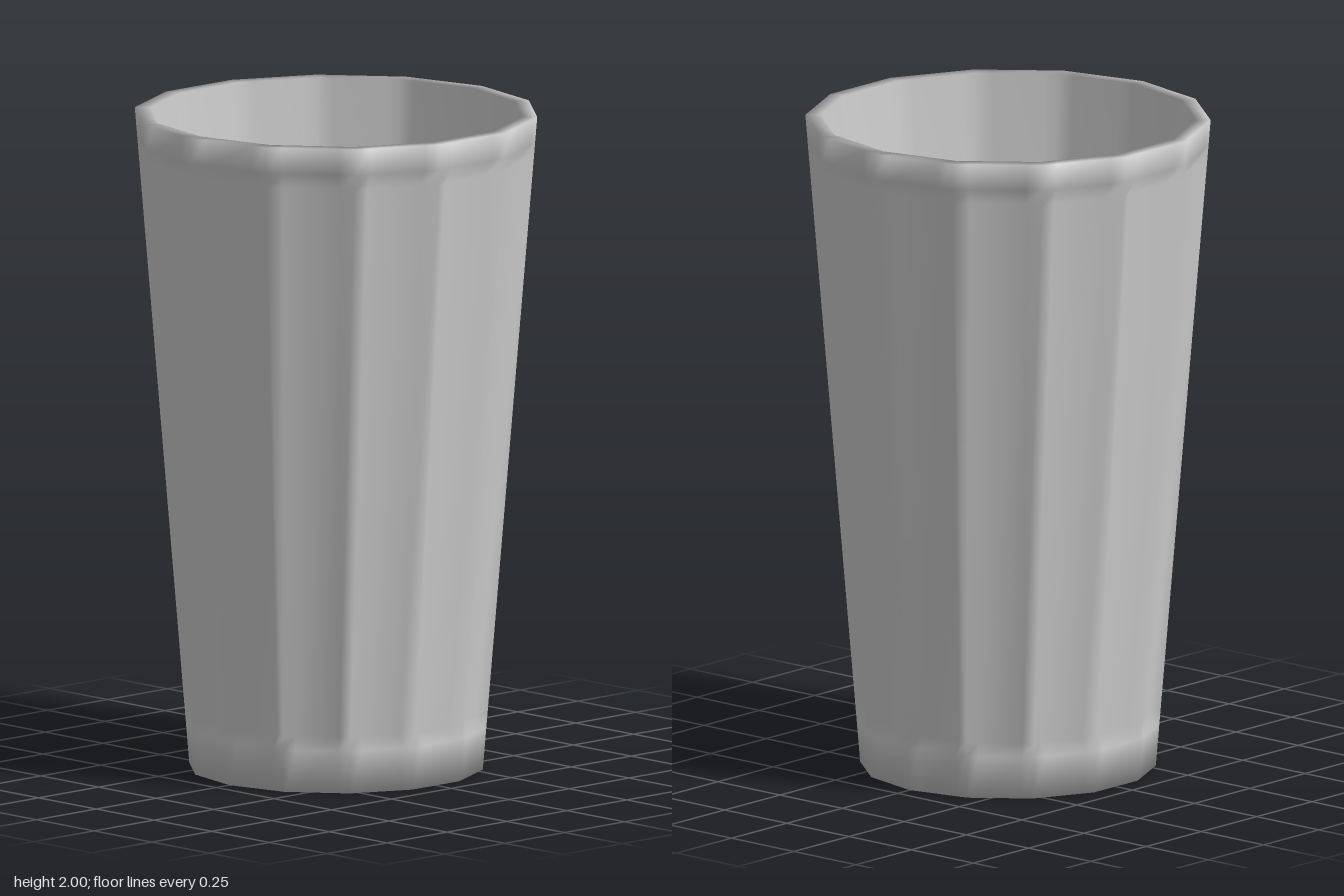
import * as THREE from 'three';
import { mergeVertices } from 'three/addons/utils/BufferGeometryUtils.js';

const SIDES = 14;
const BEVEL = 0.18;   // share of each facet taken by a panel's sloping edge
const DEPTH = 0.025;  // how far the panels sink into the wall

const outerRadius = (y) => 0.445 + 0.0825 * y;

// One loop of the tumbler: three points per facet (ridge, panel edge, panel edge)
function crossSection(radius, y, depth) {
  const points = [];
  const corner = (k) => {
    const a = (k / SIDES) * Math.PI * 2;
    return new THREE.Vector3(Math.sin(a) * radius, y, Math.cos(a) * radius);
  };
  for (let k = 0; k < SIDES; k++) {
    const mid = ((k + 0.5) / SIDES) * Math.PI * 2;
    const inward = new THREE.Vector3(-Math.sin(mid), 0, -Math.cos(mid)).multiplyScalar(depth);
    const start = corner(k), end = corner(k + 1);
    points.push(start);
    for (const t of [BEVEL, 1 - BEVEL]) points.push(start.clone().lerp(end, t).add(inward));
  }
  return points;
}

// Joins successive loops with quads and smooths the shared corners
function loft(loops) {
  const n = loops[0].length;
  const index = [];
  for (let j = 0; j < loops.length - 1; j++) {
    for (let i = 0; i < n; i++) {
      const a = j * n + i, b = j * n + (i + 1) % n;
      index.push(a, b, b + n, a, b + n, a + n);
    }
  }
  let geometry = new THREE.BufferGeometry().setFromPoints(loops.flat());
  geometry.setIndex(index);
  geometry = mergeVertices(geometry, 1e-5);
  geometry.computeVertexNormals();
  return geometry;
}

export function createModel() {
  const model = new THREE.Group();
  model.name = 'tumbler';

  // Underside, panelled wall, rim, inner wall and floor: [radius, height, panel depth]
  const profile = [
    [0, 0, 0],
    [outerRadius(0), 0, 0],
    [outerRadius(0.13), 0.13, 0],
    [outerRadius(0.17), 0.17, DEPTH],
    [outerRadius(1.87), 1.87, DEPTH],
    [outerRadius(1.92), 1.92, 0],
    [outerRadius(2), 2, 0],
    [0.565, 2, 0],
    [0.395, 0.05, 0],
    [0, 0.05, 0],
  ];
  const cup = new THREE.Mesh(
    loft(profile.map(([r, y, d]) => crossSection(r, y, d))),
    new THREE.MeshStandardMaterial({ color: 0xcccccc })
  );
  cup.name = 'cup';
  model.add(cup);
  return model;
}
